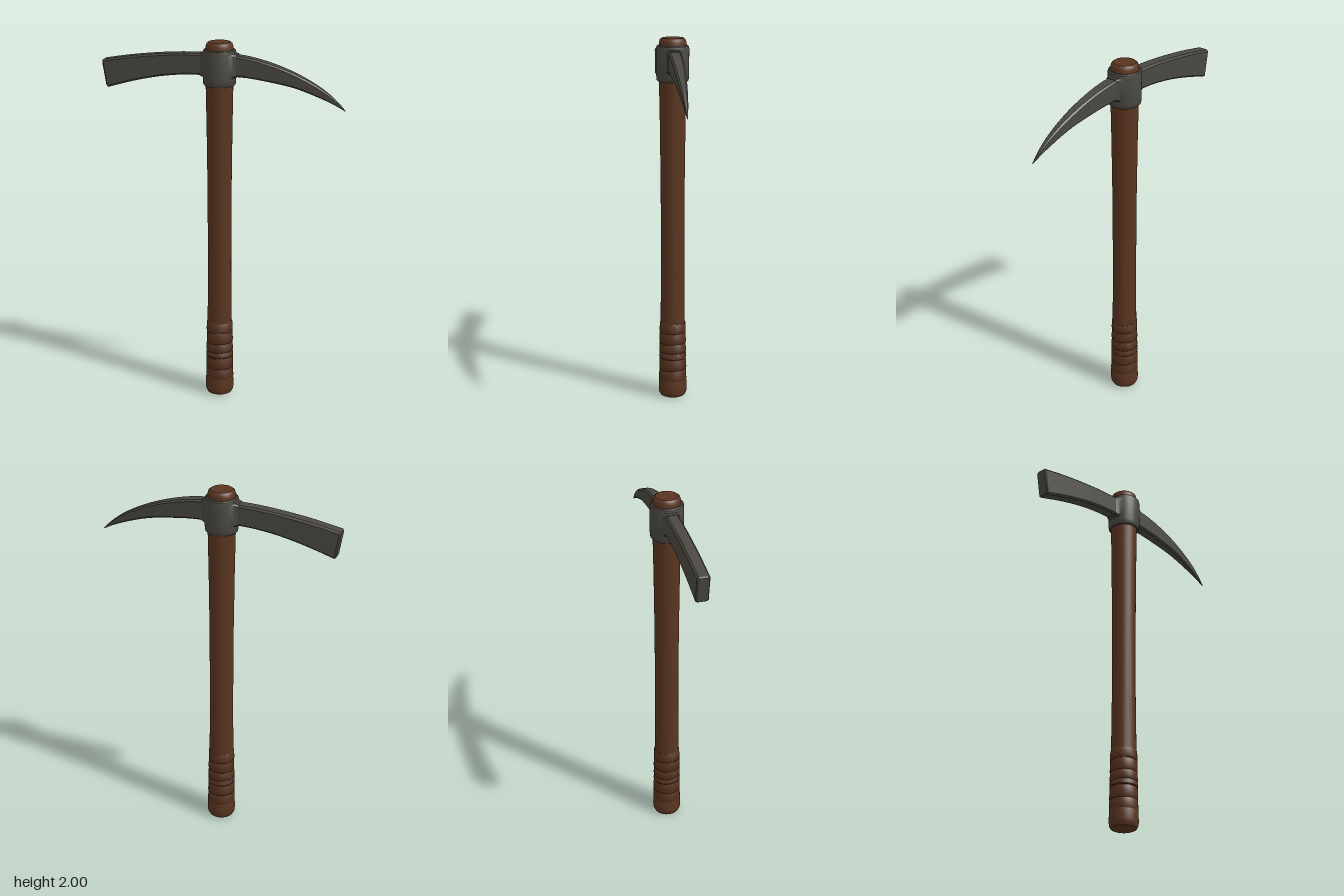
import * as THREE from 'three';
import { toCreasedNormals } from 'three/addons/utils/BufferGeometryUtils.js';

const AXIS_X = -0.016; // the handle sits slightly off centre

const wood = new THREE.MeshStandardMaterial({ color: 0x5a3520 });
wood.name = 'wood';
const leather = new THREE.MeshStandardMaterial({ color: 0x56321e });
leather.name = 'leather';
const iron = new THREE.MeshStandardMaterial({ color: 0x4a4841 });
iron.name = 'iron';

function addMesh(parent, name, geometry, material) {
  const mesh = new THREE.Mesh(toCreasedNormals(geometry, 0.6), material);
  mesh.name = name;
  parent.add(mesh);
  return mesh;
}

function lathe(points) {
  return new THREE.LatheGeometry(points.map(([r, y]) => new THREE.Vector2(r, y)), 40);
}

// Loft of chamfered rectangles; each section is [topX, topY, bottomX, bottomY, halfThickness]
function loftArm(sections) {
  const positions = [];
  const index = [];
  const N = 8;
  for (const [tx, ty, bx, by, w] of sections) {
    const h = Math.hypot(tx - bx, ty - by);
    const c = Math.min(0.009, w * 0.4, h * 0.3);
    const t = c / h;
    // s runs from top (0) to bottom (1)
    const ring = [
      [0, -(w - c)], [0, w - c], [t, w], [1 - t, w],
      [1, w - c], [1, -(w - c)], [1 - t, -w], [t, -w],
    ];
    for (const [s, z] of ring) positions.push(tx + (bx - tx) * s, ty + (by - ty) * s, z);
  }
  for (let i = 0; i < sections.length - 1; i++) {
    for (let j = 0; j < N; j++) {
      const a = i * N + j;
      const b = i * N + ((j + 1) % N);
      index.push(a, b, b + N, a, b + N, a + N);
    }
  }
  const last = (sections.length - 1) * N;
  for (let j = 1; j < N - 1; j++) {
    index.push(0, j + 1, j);
    index.push(last, last + j, last + j + 1);
  }
  const geometry = new THREE.BufferGeometry();
  geometry.setAttribute('position', new THREE.Float32BufferAttribute(positions, 3));
  geometry.setIndex(index);
  return geometry;
}

// Samples smooth curves through the key sections
function smoothSections(keys, steps) {
  const top = new THREE.CatmullRomCurve3(keys.map(k => new THREE.Vector3(k[0], k[1], k[4])));
  const bottom = new THREE.CatmullRomCurve3(keys.map(k => new THREE.Vector3(k[2], k[3], 0)));
  return Array.from({ length: steps + 1 }, (_, i) => {
    const a = top.getPoint(i / steps);
    const b = bottom.getPoint(i / steps);
    return [a.x, a.y, b.x, b.y, Math.max(a.z, 0.001)];
  });
}

export function createModel() {
  const group = new THREE.Group();
  group.name = 'pickaxe';

  // Wooden shaft with a swollen foot and a rounded top
  const shaft = addMesh(group, 'handle', lathe([
    [0, 0], [0.055, 0.002], [0.068, 0.008], [0.076, 0.024], [0.078, 0.045], [0.076, 0.1],
    [0.069, 0.13], [0.067, 0.43], [0.064, 0.75], [0.065, 1.2], [0.069, 1.55], [0.073, 1.77],
    [0.074, 1.9], [0.073, 1.975], [0.068, 1.991], [0.058, 1.999], [0, 2],
  ]), wood);
  shaft.position.x = AXIS_X;

  // Overlapping grip bands, each tilted a little
  const edges = [0.095, 0.16, 0.225, 0.26, 0.312, 0.375, 0.432];
  const grip = new THREE.Group();
  grip.name = 'grip';
  group.add(grip);
  for (let i = 0; i < edges.length - 1; i++) {
    const h = edges[i + 1] - edges[i];
    const r = 0.0765 - i * 0.0008;
    const band = addMesh(grip, 'gripBand', lathe([
      [0.06, -h / 2], [r - 0.003, -h / 2], [r, -h / 2 + 0.005],
      [r - 0.002, h / 2 - 0.005], [r - 0.005, h / 2], [0.06, h / 2],
    ]), leather);
    band.position.set(AXIS_X, (edges[i] + edges[i + 1]) / 2, 0);
    band.rotation.set(0.04 * Math.sin(i * 2.1), 0, 0.03 * Math.cos(i * 1.7));
  }

  // Iron collar around the top of the shaft
  const collar = addMesh(group, 'collar', lathe([
    [0.07, 1.77], [0.08, 1.77], [0.085, 1.776], [0.088, 1.8],
    [0.088, 1.945], [0.085, 1.956], [0.079, 1.961], [0.07, 1.961],
  ]), iron);
  collar.position.x = AXIS_X;

  // Wedge cheeks that blend the collar into the two arms
  for (const side of [-1, 1]) {
    const cheek = addMesh(group, side < 0 ? 'rightCheek' : 'leftCheek', loftArm(
      [[0.05, 0.072], [0.066, 0.058], [0.082, 0.043], [0.1, 0.035]].map(([x, w]) => {
        const inset = (x - 0.05) * 0.25;
        return [x, 1.95 - inset, x, 1.807 + inset, w];
      })), iron);
    cheek.position.x = AXIS_X;
    if (side < 0) {
      cheek.rotation.y = Math.PI;
    }
  }

  // Broad adze blade on the right, flaring at its end
  const adze = smoothSections([
    [-0.658, 1.874, -0.634, 1.724, 0.034],
    [-0.52, 1.899, -0.5, 1.764, 0.034],
    [-0.36, 1.92, -0.35, 1.799, 0.034],
    [-0.22, 1.932, -0.21, 1.818, 0.034],
    [-0.08, 1.936, -0.08, 1.823, 0.034],
  ], 16);
  adze.unshift([-0.664, 1.868, -0.641, 1.729, 0.029]);
  addMesh(group, 'adzeBlade', loftArm(adze), iron);

  // Curved spike on the left, tapering to a point
  addMesh(group, 'pickSpike', loftArm(smoothSections([
    [0.04, 1.937, 0.04, 1.823, 0.034],
    [0.14, 1.927, 0.14, 1.82, 0.033],
    [0.26, 1.901, 0.26, 1.805, 0.03],
    [0.4, 1.853, 0.39, 1.781, 0.025],
    [0.53, 1.787, 0.51, 1.742, 0.017],
    [0.61, 1.728, 0.6, 1.705, 0.009],
    [0.663, 1.675, 0.66, 1.673, 0.001],
  ], 24)), iron);

  return group;
}
